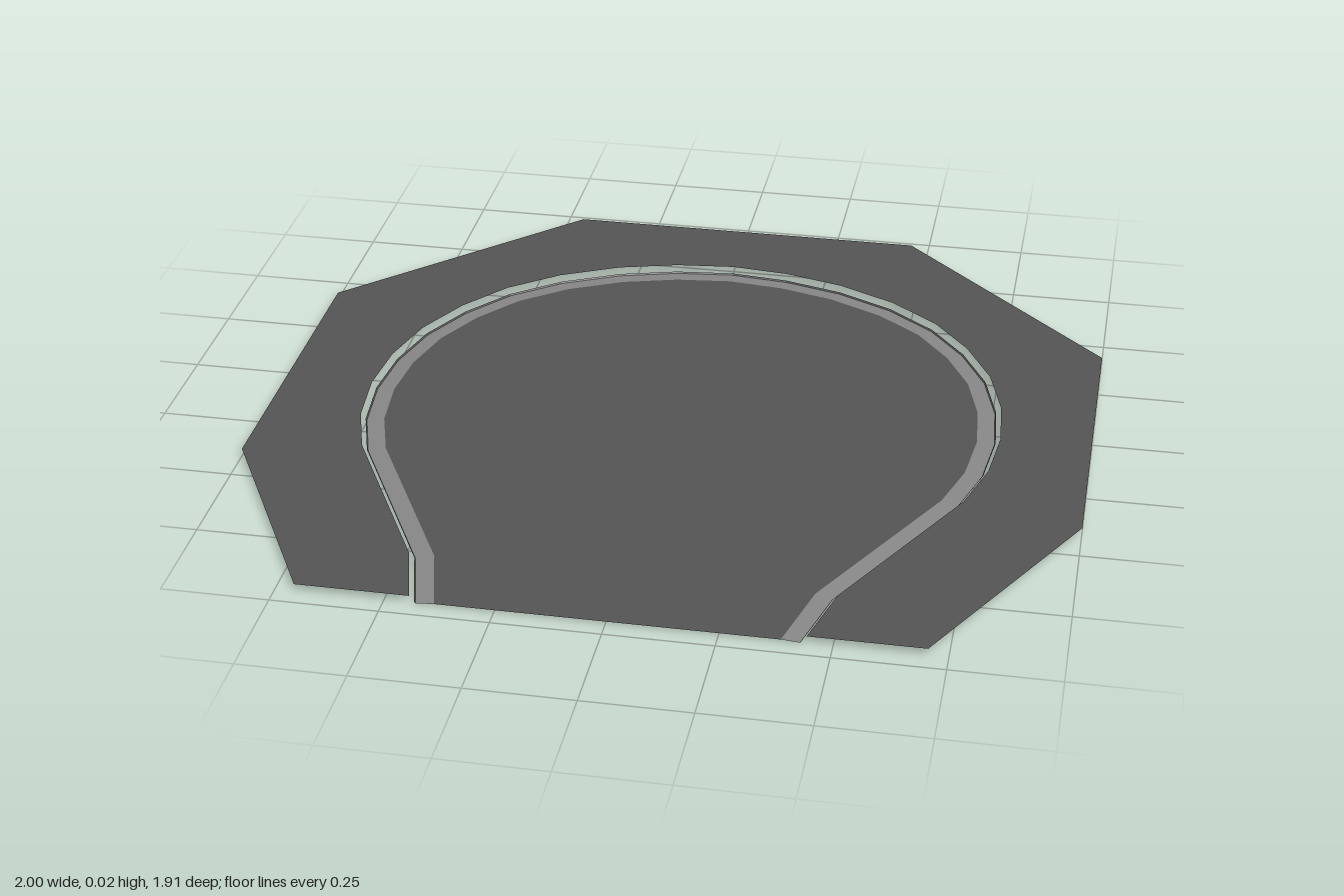
import * as THREE from 'three';

const makeMaterial = (name, color) => {
  const m = new THREE.MeshStandardMaterial({ color, side: THREE.DoubleSide });
  m.name = name;
  return m;
};

// Half of the kerb line as (x, z), from the back middle to the front end
const HALF = [
  [0, -0.743], [0.15, -0.727], [0.3, -0.685], [0.445, -0.613], [0.567, -0.517],
  [0.66, -0.398], [0.73, -0.262], [0.77, -0.112], [0.782, 0.04], [0.766, 0.197],
  [0.722, 0.342], [0.487, 0.785], [0.442, 0.955],
];

const mirror = (half) => [
  ...half.slice(1).reverse().map(([x, z]) => [-x, z]),
  ...half,
];

// Kerb line moved inwards by d, with mitred corners
function kerbLine(d) {
  const half = HALF.map(([x, z], i) => {
    if (i === 0) return [0, z + d];
    if (i === HALF.length - 1) return [x - d, z];
    const normal = (a, b) => new THREE.Vector2(a[1] - b[1], b[0] - a[0]).normalize();
    const n1 = normal(HALF[i - 1], HALF[i]);
    const n2 = normal(HALF[i], HALF[i + 1]);
    const m = n1.clone().add(n2).normalize();
    const k = d / m.dot(n1);
    return [x + m.x * k, z + m.y * k];
  });
  return mirror(half);
}

// Flat plate from an outline of (x, z) points
function plate(points, y) {
  const shape = new THREE.Shape(points.map(([x, z]) => new THREE.Vector2(x, -z)));
  return new THREE.ShapeGeometry(shape).rotateX(-Math.PI / 2).translate(0, y, 0);
}

// Ribbon between two kerb lines at two heights
function ribbon(outer, outerY, inner, innerY) {
  const position = [];
  for (let i = 0; i < outer.length - 1; i++) {
    const a0 = [outer[i][0], outerY, outer[i][1]];
    const a1 = [outer[i + 1][0], outerY, outer[i + 1][1]];
    const b0 = [inner[i][0], innerY, inner[i][1]];
    const b1 = [inner[i + 1][0], innerY, inner[i + 1][1]];
    position.push(...a0, ...b0, ...a1, ...a1, ...b0, ...b1);
  }
  const g = new THREE.BufferGeometry();
  g.setAttribute('position', new THREE.Float32BufferAttribute(position, 3));
  g.computeVertexNormals();
  return g;
}

export function createModel() {
  const group = new THREE.Group();
  group.name = 'culDeSac';
  const asphalt = makeMaterial('asphalt', 0x555555);
  const concrete = makeMaterial('concrete', 0x888888);
  const add = (name, geometry, material) => {
    const mesh = new THREE.Mesh(geometry, material);
    mesh.name = name;
    group.add(mesh);
  };

  const VERGE_Y = 0.018;
  const ROAD_Y = 0.003;
  const gutterOuter = kerbLine(0.014);
  const gutterInner = kerbLine(0.056);

  // Raised eight-sided verge, open at the front where the road enters
  const border = [
    [0.705, 0.955], [1, 0.41], [1, -0.41], [0.455, -0.955],
    [-0.455, -0.955], [-1, -0.41], [-1, 0.41], [-0.705, 0.955],
  ];
  add('verge', plate([...border, ...kerbLine(0)], VERGE_Y), asphalt);

  // Sunken road with its gutter sloping down to the kerb
  add('road', plate(gutterInner, ROAD_Y), asphalt);
  add('gutter', ribbon(gutterOuter, 0, gutterInner, ROAD_Y), concrete);

  // Thin lip along the outside of the gutter
  add('gutterLip', ribbon(kerbLine(0.011), 0.004, gutterOuter, 0), asphalt);

  return group;
}
